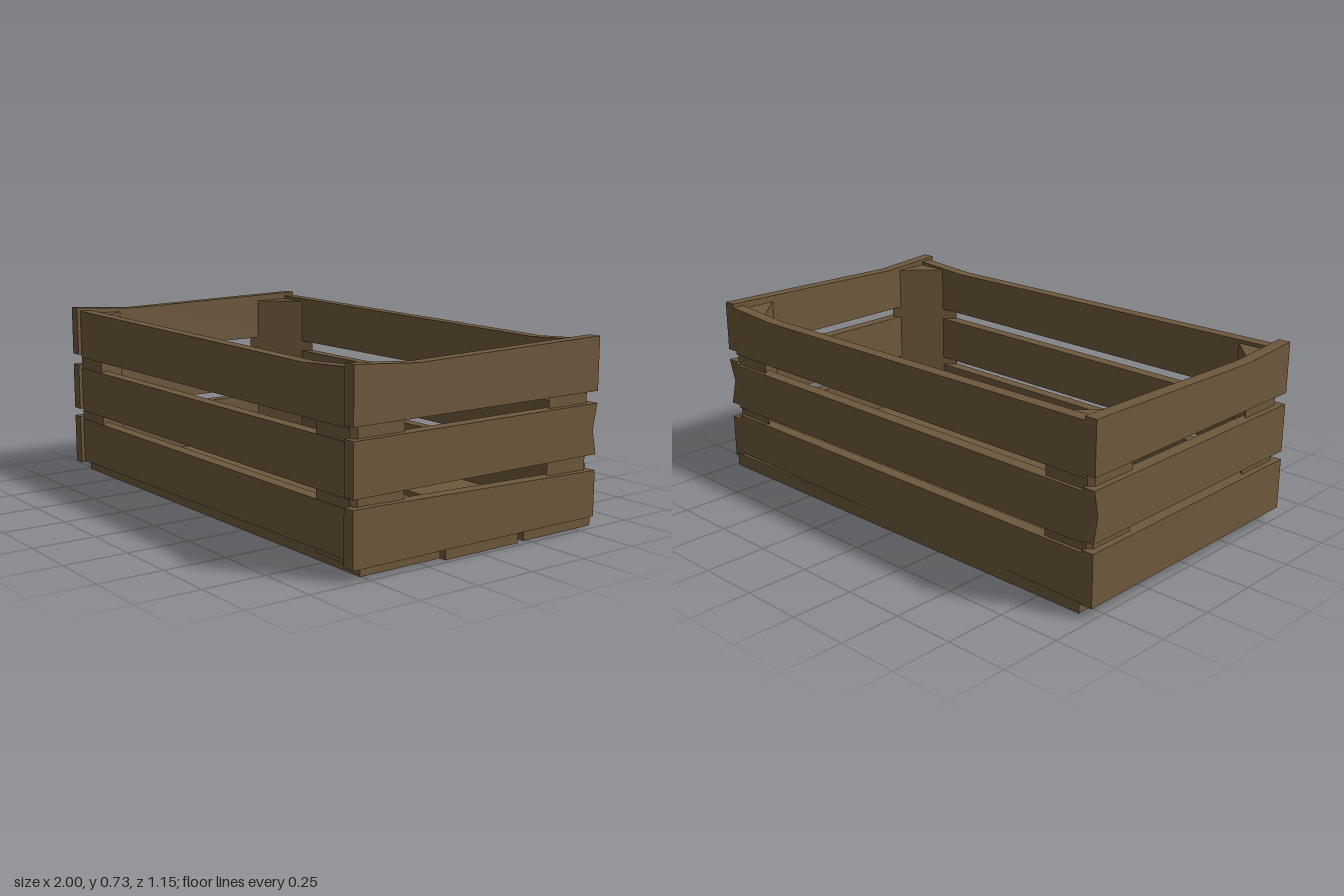
import * as THREE from 'three';

const wood = new THREE.MeshStandardMaterial({ color: 0x6e583c });
wood.name = 'brown wood';

// Extrude a flat outline given as [a, b] points
function prism(points, depth) {
  const shape = new THREE.Shape(points.map(([a, b]) => new THREE.Vector2(a, b)));
  return new THREE.ExtrudeGeometry(shape, { depth, bevelEnabled: false });
}

export function createModel() {
  const crate = new THREE.Group();
  crate.name = 'crate';
  const add = (name, geometry) => {
    const mesh = new THREE.Mesh(geometry, wood);
    mesh.name = name;
    crate.add(mesh);
    return mesh;
  };

  // Long side boards: outlines in x, y; the top ones sag near one end
  const longBoards = {
    Lower: [[-0.95, 0.05], [0.95, 0.067], [0.95, 0.24], [-0.95, 0.24]],
    Middle: [[-0.95, 0.275], [0.95, 0.275], [0.95, 0.465], [-0.95, 0.465]],
    Upper: [[-0.95, 0.512], [0.95, 0.512], [0.95, 0.715], [0.7, 0.699], [-0.95, 0.715]],
  };
  for (const [level, outline] of Object.entries(longBoards)) {
    add('front' + level + 'Board', prism(outline, 0.05).translate(0, 0, 0.51));
    add('back' + level + 'Board', prism(outline, 0.05).translate(0, 0, -0.57));
  }

  // End boards: outlines in z, y
  for (const side of [1, -1]) {
    const lowerBackTop = side > 0 ? 0.223 : 0.25;
    const endBoards = {
      Lower: [[-0.57, 0.045], [0.575, 0.045], [0.575, 0.25], [0.5, 0.25], [-0.57, lowerBackTop]],
      Middle: [[-0.57, 0.285], [0.575, 0.285], [0.575, 0.479], [-0.57, 0.479], [-0.57, 0.38]],
      Upper: [[-0.57, 0.525], [0.575, 0.525], [0.575, 0.73], [0.3, 0.711], [-0.57, 0.73]],
    };
    for (const [level, outline] of Object.entries(endBoards)) {
      const g = prism(outline, 0.05).rotateY(-Math.PI / 2);
      g.translate(side > 0 ? 1 : -0.95, 0, 0);
      if (level === 'Middle') {
        // Chipped outer corner at the back
        const p = g.attributes.position;
        for (let i = 0; i < p.count; i++) {
          const outer = Math.abs(p.getX(i)) > 0.98;
          if (outer && p.getZ(i) < 0 && Math.abs(p.getY(i) - 0.38) < 0.01) p.setZ(i, -0.55);
        }
        g.computeVertexNormals();
      }
      add((side > 0 ? 'left' : 'right') + level + 'EndBoard', g);
    }
  }

  // Triangular corner posts with a trimmed outer corner
  for (const sx of [1, -1]) {
    for (const sz of [1, -1]) {
      const outline = [[0.975, 0.34], [0.975, 0.538], [0.957, 0.556], [0.772, 0.556]]
        .map(([x, z]) => [x * sx, -z * sz]);
      const g = prism(outline, 0.65).rotateX(-Math.PI / 2).translate(0, 0.05, 0);
      add((sz > 0 ? 'front' : 'back') + (sx > 0 ? 'Left' : 'Right') + 'Post', g);
    }
  }

  // Floor boards, each slightly askew: name, z from, z to, bottom, top
  const floor = [
    ['frontFloorBoard', 0.182, 0.534, 0.012, 0.06],
    ['middleFloorBoard', -0.193, 0.157, 0.0, 0.05],
    ['backFloorBoard', -0.57, -0.22, 0.004, 0.06],
  ];
  for (const [name, z0, z1, y0, y1] of floor) {
    const mesh = add(name, new THREE.BoxGeometry(1.92, y1 - y0, z1 - z0));
    mesh.position.set(0.02, (y0 + y1) / 2, (z0 + z1) / 2);
    mesh.rotation.y = 0.005;
  }
  return crate;
}
